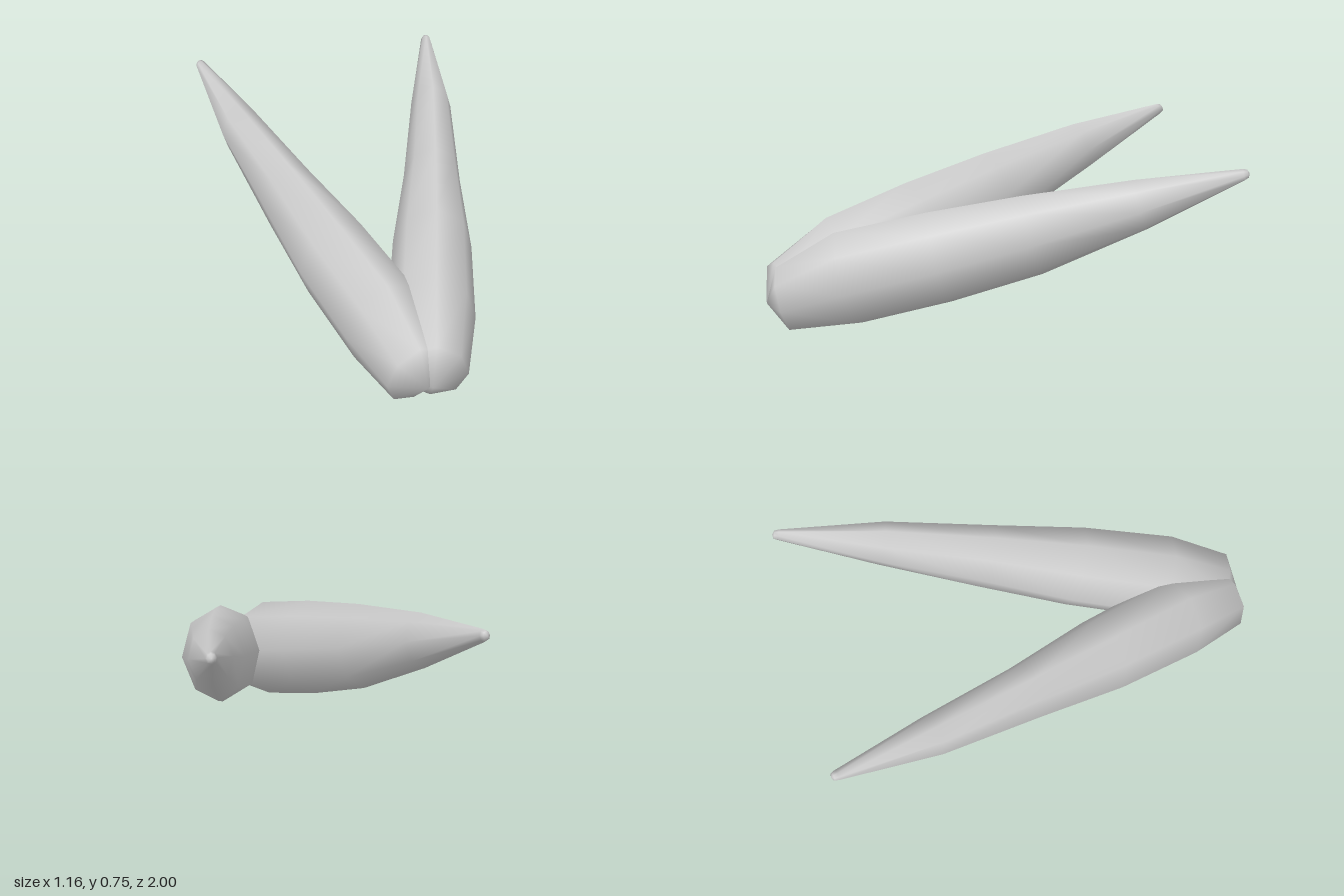
import * as THREE from 'three';

const SIDES = 8;
// Cross-sections of the left horn, base to tip: centre x, y, z, half width, half height
const RINGS = [
  [0.01, 0.13, 1.0, 0, 0],
  [0.035, 0.155, 0.92, 0.145, 0.15],
  [0.105, 0.25, 0.655, 0.185, 0.22],
  [0.22, 0.353, 0.275, 0.172, 0.215],
  [0.332, 0.46, -0.11, 0.127, 0.187],
  [0.457, 0.602, -0.55, 0.092, 0.117],
  [0.556, 0.735, -0.973, 0.023, 0.026],
  [0.56, 0.739, -0.99, 0.017, 0.019],
  [0.561, 0.74, -0.997, 0, 0],
];

// Lofts the rings perpendicular to the horn axis; mirror is 1 (left) or -1 (right)
function hornGeometry(mirror) {
  const axis = new THREE.Vector3(0.29, 0.25, -0.92).normalize();
  const up = new THREE.Vector3(0, 0.965, 0.262).normalize();
  const out = new THREE.Vector3().crossVectors(axis, up).normalize();
  const positions = [];
  const index = [];
  const starts = [];

  for (const [x, y, z, w, h] of RINGS) {
    starts.push(positions.length / 3);
    const count = w === 0 ? 1 : SIDES;
    for (let i = 0; i < count; i++) {
      const a = (i / SIDES) * Math.PI * 2;
      const p = new THREE.Vector3(x, y, z)
        .addScaledVector(out, w * Math.cos(a))
        .addScaledVector(up, h * Math.sin(a));
      positions.push(p.x * mirror, p.y, p.z);
    }
  }

  const face = (a, b, c) => (mirror > 0 ? index.push(a, b, c) : index.push(a, c, b));
  for (let r = 0; r < RINGS.length - 1; r++) {
    const at = (ring, i) => starts[ring] + (RINGS[ring][3] === 0 ? 0 : i % SIDES);
    for (let i = 0; i < SIDES; i++) {
      const a = at(r, i), b = at(r, i + 1), c = at(r + 1, i + 1), d = at(r + 1, i);
      // out x up points back along the axis, so the section runs clockwise from the tip
      if (a !== b) face(a, d, b);
      if (c !== d) face(b, d, c);
    }
  }

  const geometry = new THREE.BufferGeometry();
  geometry.setAttribute('position', new THREE.Float32BufferAttribute(positions, 3));
  geometry.setIndex(index);
  // Make sure the faces point outward: signed volume must be positive
  const v = (i) => new THREE.Vector3().fromArray(positions, i * 3);
  let volume = 0;
  for (let i = 0; i < index.length; i += 3) {
    volume += v(index[i]).dot(v(index[i + 1]).cross(v(index[i + 2])));
  }
  if (volume < 0) geometry.setIndex(index.reverse());
  geometry.computeVertexNormals();
  return geometry;
}

export function createModel() {
  const model = new THREE.Group();
  model.name = 'hornPair';
  const material = new THREE.MeshStandardMaterial({ color: 0xcccccc });

  // Two mirrored horns merging at the base
  for (const [name, mirror] of [['leftHorn', 1], ['rightHorn', -1]]) {
    const horn = new THREE.Mesh(hornGeometry(mirror), material);
    horn.name = name;
    model.add(horn);
  }
  return model;
}
